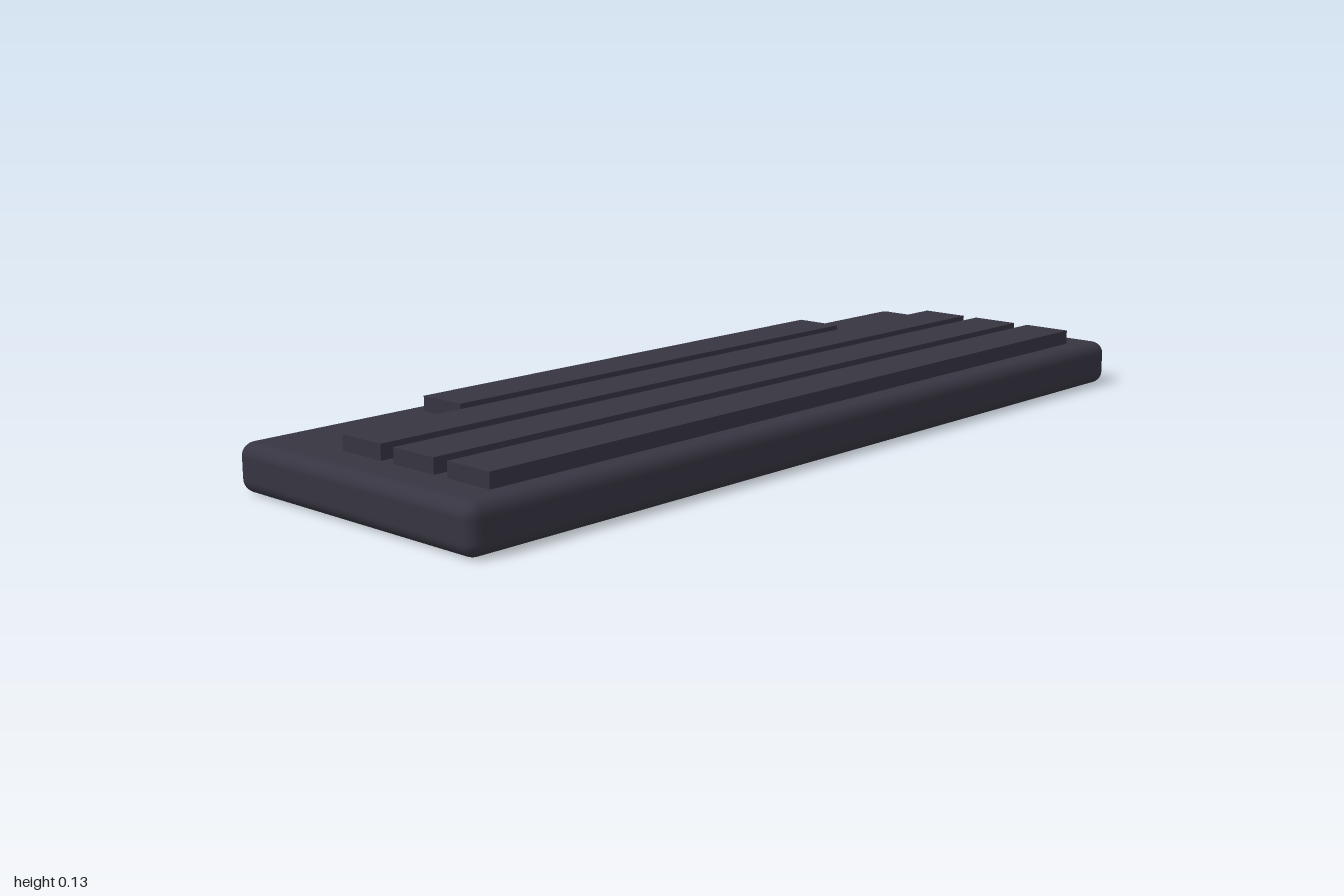
import * as THREE from 'three';
import { RoundedBoxGeometry } from 'three/addons/geometries/RoundedBoxGeometry.js';

export function createModel() {
  const model = new THREE.Group();
  model.name = 'keyboard';
  const charcoal = new THREE.MeshStandardMaterial({ name: 'charcoal', color: 0x363541 });

  // Rounded slab body
  const body = new THREE.Mesh(new RoundedBoxGeometry(2, 0.1, 0.68, 4, 0.028), charcoal);
  body.name = 'body';
  body.position.y = 0.05;
  model.add(body);

  // Raised key rows, front to back; the rear one is shorter
  const bottom = 0.09, top = 0.132;
  [1.815, 1.815, 1.815, 1.185].forEach((width, i) => {
    const row = new THREE.Mesh(new THREE.BoxGeometry(width, top - bottom, 0.113), charcoal);
    row.name = `keyRow${i + 1}`;
    row.position.set(0, (top + bottom) / 2, 0.228 - i * 0.15);
    model.add(row);
  });
  return model;
}
